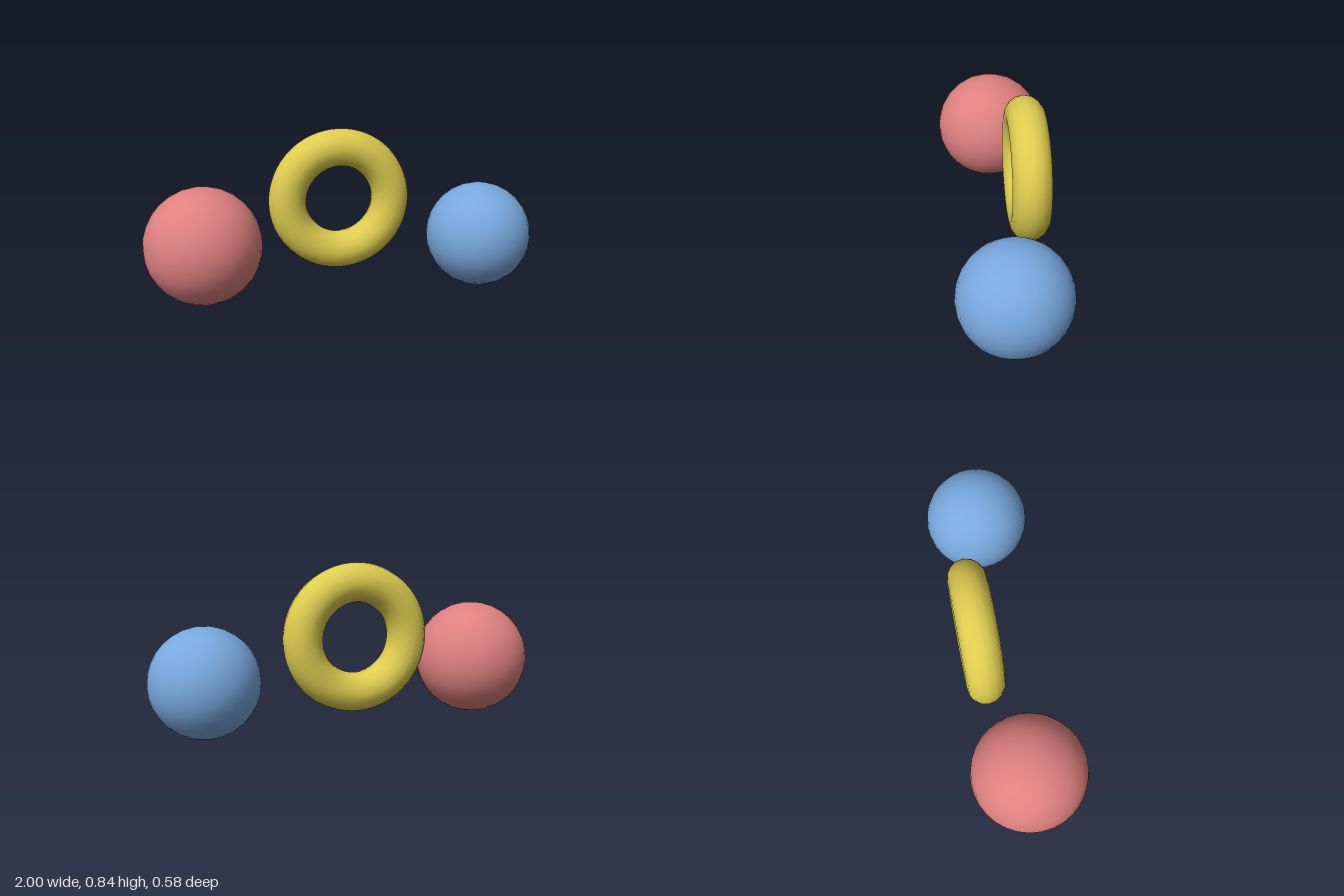
import * as THREE from 'three';

export function createModel() {
  const group = new THREE.Group();
  const material = (name, color) => {
    const m = new THREE.MeshStandardMaterial({ color });
    m.name = name;
    return m;
  };
  const add = (name, geometry, mat, x, y, z) => {
    const mesh = new THREE.Mesh(geometry, mat);
    mesh.name = name;
    mesh.position.set(x, y, z);
    group.add(mesh);
  };

  // Two balls on either side
  add('redBall', new THREE.SphereGeometry(0.292, 32, 16), material('red', 0xde8080), -0.708, 0.309, 0);
  add('blueBall', new THREE.SphereGeometry(0.272, 32, 16), material('blue', 0x78a8de), 0.728, 0.275, 0);

  // Upright ring, set slightly behind the balls
  add('yellowRing', new THREE.TorusGeometry(0.271, 0.097, 16, 64), material('yellow', 0xdecc50), 0.005, 0.473, -0.13);

  return group;
}
